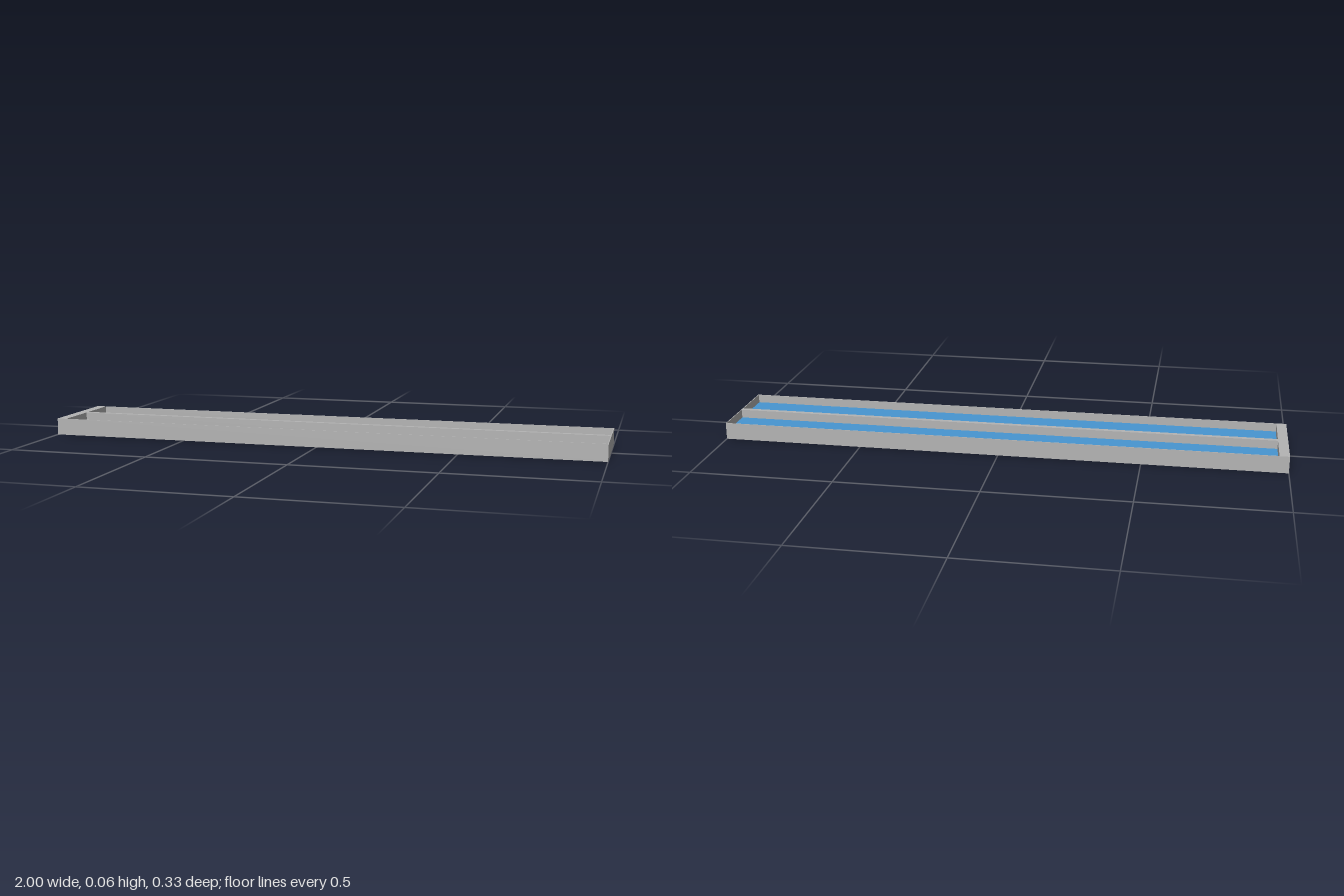
import * as THREE from 'three';

const LENGTH = 2, WIDTH = 0.334, HEIGHT = 0.06;
const WALL = 0.003, LEDGE = 0.035, BASE = 0.004, FLOOR_Y = 0.03;
const DIVIDER = [-0.016, 0.002]; // z range of the central divider

export function createModel() {
  const grey = new THREE.MeshStandardMaterial({ color: 0xb4b4b4 });
  grey.name = 'concrete grey';
  const blue = new THREE.MeshStandardMaterial({ color: 0x4796d1 });
  blue.name = 'water blue';

  const model = new THREE.Group();
  model.name = 'twoLaneBasin';
  const add = (name, geometry, material, x, y, z) => {
    const mesh = new THREE.Mesh(geometry, material);
    mesh.name = name;
    mesh.position.set(x, y, z);
    model.add(mesh);
    return mesh;
  };

  const hx = LENGTH / 2, hz = WIDTH / 2;
  const rectangle = (path, x0, x1, y0, y1) => {
    path.moveTo(x0, y0).lineTo(x1, y0).lineTo(x1, y1).lineTo(x0, y1).closePath();
    return path;
  };

  // The two long lanes, inside the thin walls and the wide end ledge
  const x0 = -hx + LEDGE, x1 = hx - WALL;
  const lanes = [
    { name: 'backWater', z0: -hz + WALL, z1: DIVIDER[0] },
    { name: 'frontWater', z0: DIVIDER[1], z1: hz - WALL },
  ];

  // Walls, ledge and divider in one piece, with a hole for each lane
  const outline = rectangle(new THREE.Shape(), -hx, hx, -hz, hz);
  for (const { z0, z1 } of lanes) {
    outline.holes.push(rectangle(new THREE.Path(), x0, x1, -z1, -z0));
  }
  const frame = new THREE.ExtrudeGeometry(outline, { depth: HEIGHT - BASE, bevelEnabled: false });
  frame.rotateX(-Math.PI / 2);
  add('wallsAndDivider', frame, grey, 0, BASE, 0);

  // Closed underside
  add('underside', new THREE.BoxGeometry(LENGTH, BASE, WIDTH), grey, 0, BASE / 2, 0);

  // Water surface of each lane
  for (const { name, z0, z1 } of lanes) {
    const plate = new THREE.BoxGeometry(x1 - x0, 0.006, z1 - z0);
    add(name, plate, blue, (x0 + x1) / 2, FLOOR_Y - 0.003, (z0 + z1) / 2);
  }
  return model;
}
